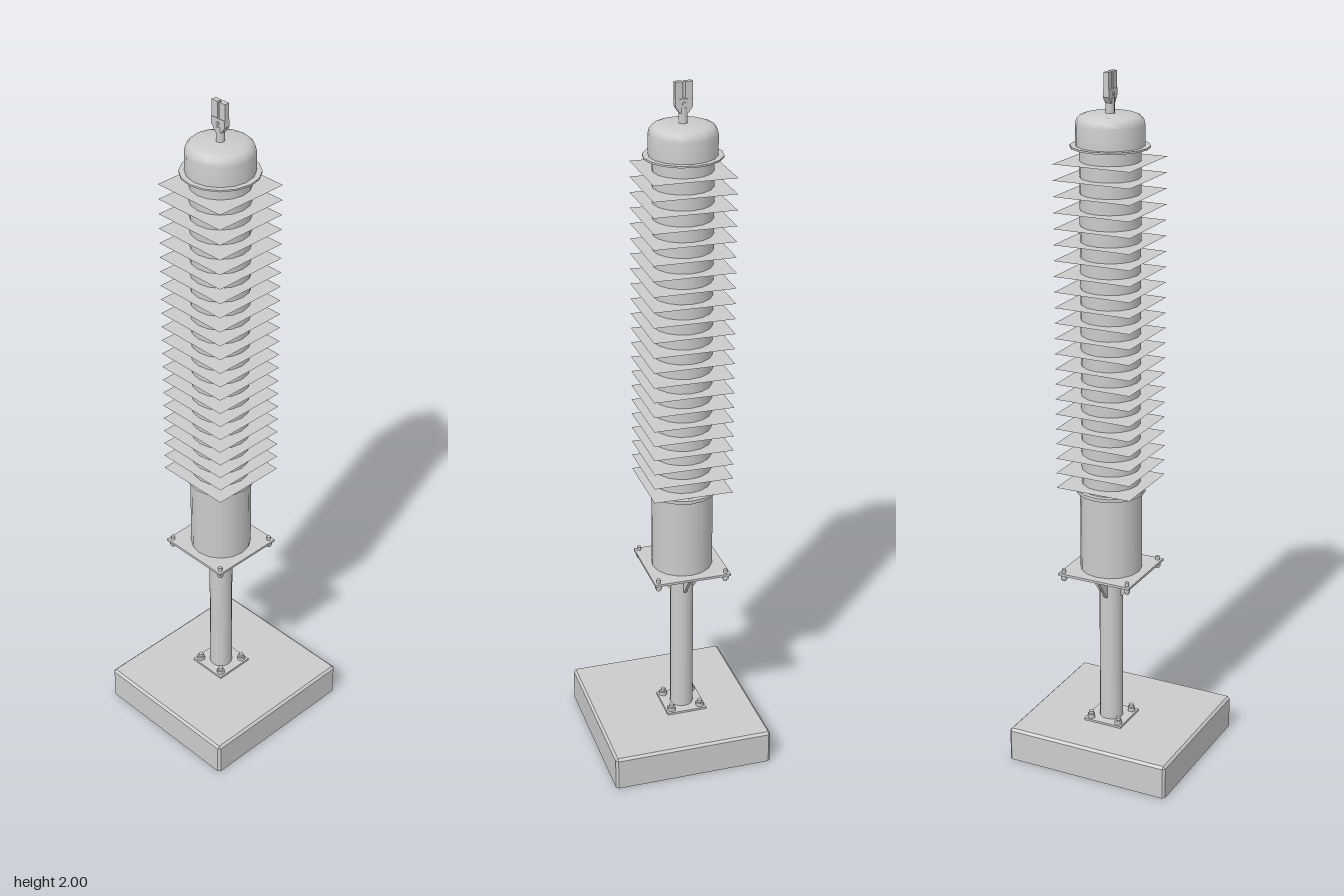
import * as THREE from 'three';
import { toCreasedNormals } from 'three/addons/utils/BufferGeometryUtils.js';

const SIDES = 16;
const grey = new THREE.MeshStandardMaterial({ color: 0xcccccc });
const thin = new THREE.MeshStandardMaterial({ color: 0xcccccc, side: THREE.DoubleSide });

function add(parent, name, geometry, x = 0, y = 0, z = 0, material = grey) {
  const mesh = new THREE.Mesh(geometry, material);
  mesh.name = name;
  mesh.position.set(x, y, z);
  parent.add(mesh);
  return mesh;
}

// Upright cylinder given by its bottom and top heights
function cylinder(parent, name, r, y0, y1, x = 0, z = 0, sides = SIDES) {
  return add(parent, name, new THREE.CylinderGeometry(r, r, y1 - y0, sides), x, (y0 + y1) / 2, z);
}

// Box given by its bottom and top heights
function box(parent, name, w, y0, y1, d, x = 0, z = 0) {
  return add(parent, name, new THREE.BoxGeometry(w, y1 - y0, d), x, (y0 + y1) / 2, z);
}

// Hollow plinth, open below, with chamfered corners and top edge
function plinthGeometry(hx, hz, h, c) {
  const loop = (ax, az, cut, y) => [
    [ax, y, az - cut], [ax - cut, y, az], [-ax + cut, y, az], [-ax, y, az - cut],
    [-ax, y, -az + cut], [-ax + cut, y, -az], [ax - cut, y, -az], [ax, y, -az + cut],
  ];
  const rings = [loop(hx, hz, c, 0), loop(hx, hz, c, h - c), loop(hx - c, hz - c, 0, h)];
  const pos = [];
  const tri = (...corners) => corners.forEach((p) => pos.push(...p));
  for (let k = 0; k < 2; k++) {
    for (let i = 0; i < 8; i++) {
      const j = (i + 1) % 8;
      const a = rings[k][i], b = rings[k][j], d = rings[k + 1][j], e = rings[k + 1][i];
      // Loops run clockwise seen from above
      tri(a, d, b);
      tri(a, e, d);
    }
  }
  for (let i = 0; i < 8; i++) tri([0, h, 0], rings[2][(i + 1) % 8], rings[2][i]);
  const g = new THREE.BufferGeometry();
  g.setAttribute('position', new THREE.Float32BufferAttribute(pos, 3));
  g.computeVertexNormals();
  return g;
}

// Bolts at the four corners of a square
function cornerBolts(parent, name, half, y0, y1, r, headY0, headY1) {
  for (const sx of [-1, 1]) for (const sz of [-1, 1]) {
    const bolt = new THREE.Group();
    bolt.name = name;
    cylinder(bolt, 'boltShank', r * 0.6, y0, y1, sx * half, sz * half, 8);
    cylinder(bolt, 'boltNut', r, headY0, headY1, sx * half, sz * half, 6);
    parent.add(bolt);
  }
}

export function createModel() {
  const model = new THREE.Group();
  model.name = 'surgeArrester';
  const plinth = plinthGeometry(0.236, 0.251, 0.1, 0.007);
  // Turn the faces outwards if the loop order made them face in
  const p = plinth.attributes.position, n = plinth.attributes.normal;
  if (p.getX(0) * n.getX(0) + p.getZ(0) * n.getZ(0) < 0) {
    for (let i = 0; i < p.count; i += 3) {
      const b = new THREE.Vector3().fromBufferAttribute(p, i + 1);
      const c = new THREE.Vector3().fromBufferAttribute(p, i + 2);
      p.setXYZ(i + 1, c.x, c.y, c.z);
      p.setXYZ(i + 2, b.x, b.y, b.z);
    }
    plinth.computeVertexNormals();
  }
  add(model, 'plinth', plinth, 0, 0, 0, thin);

  // Everything on the plinth shares one off-centre axis
  const column = new THREE.Group();
  column.name = 'column';
  column.position.set(-0.032, 0, -0.018);
  model.add(column);

  // Support pole and its foot
  box(column, 'footPlate', 0.12, 0.098, 0.106, 0.12);
  cornerBolts(column, 'footBolt', 0.044, 0.1, 0.127, 0.012, 0.106, 0.118);
  cylinder(column, 'supportPole', 0.034, 0.1, 0.582);

  // Mounting plate, gussets and corner bolts
  box(column, 'mountingPlate', 0.225, 0.579, 0.586, 0.225);
  cornerBolts(column, 'mountingBolt', 0.1, 0.561, 0.597, 0.01, 0.567, 0.579);
  const gussetShape = new THREE.Shape([
    new THREE.Vector2(0.03, 0.5), new THREE.Vector2(0.036, 0.5),
    new THREE.Vector2(0.088, 0.57), new THREE.Vector2(0.088, 0.58), new THREE.Vector2(0.03, 0.58),
  ]);
  const gusset = new THREE.ExtrudeGeometry(gussetShape, { depth: 0.008, bevelEnabled: false });
  gusset.translate(0, 0, -0.004);
  for (let i = 0; i < 4; i++) add(column, 'gusset', gusset).rotation.y = i * Math.PI / 2;

  // Lower housing, collar and insulator core
  cylinder(column, 'lowerHousing', 0.088, 0.586, 0.823);
  cylinder(column, 'lowerCollar', 0.098, 0.822, 0.832);
  cylinder(column, 'insulatorCore', 0.083, 0.83, 1.805);

  // Flat square sheds
  const shed = new THREE.PlaneGeometry(0.229, 0.227).rotateX(-Math.PI / 2);
  const count = 22;
  for (let i = 0; i < count; i++) {
    add(column, 'shed', shed, 0, 0.85 + (i * 0.915) / (count - 1), 0, thin);
  }

  // Rounded cap on its thin flange
  cylinder(column, 'capFlange', 0.108, 1.801, 1.806);
  const capProfile = [
    [0, 1.804], [0.093, 1.804], [0.093, 1.862], [0.09, 1.875], [0.082, 1.884], [0.068, 1.889], [0, 1.891],
  ].map(([r, y]) => new THREE.Vector2(r, y));
  add(column, 'cap', toCreasedNormals(new THREE.LatheGeometry(capProfile, SIDES), 0.7));

  // Forked terminal with a cross pin
  const terminal = new THREE.Group();
  terminal.name = 'terminal';
  column.add(terminal);
  cylinder(terminal, 'terminalStem', 0.012, 1.888, 1.932, 0, 0, 12);
  const yokeShape = new THREE.Shape([
    [-0.012, 1.918], [0.012, 1.918], [0.024, 1.935], [0.024, 1.955], [-0.024, 1.955], [-0.024, 1.935],
  ].map(([x, y]) => new THREE.Vector2(x, y)));
  const yoke = new THREE.ExtrudeGeometry(yokeShape, { depth: 0.018, bevelEnabled: false });
  add(terminal, 'terminalYoke', yoke, 0, 0, -0.009);
  for (const s of [-1, 1]) box(terminal, 'terminalProng', 0.021, 1.953, 2, 0.015, s * 0.0135, 0);
  const pin = cylinder(terminal, 'terminalPin', 0.005, 1.93, 1.954, 0, 0, 8);
  pin.rotation.x = Math.PI / 2;

  return model;
}
